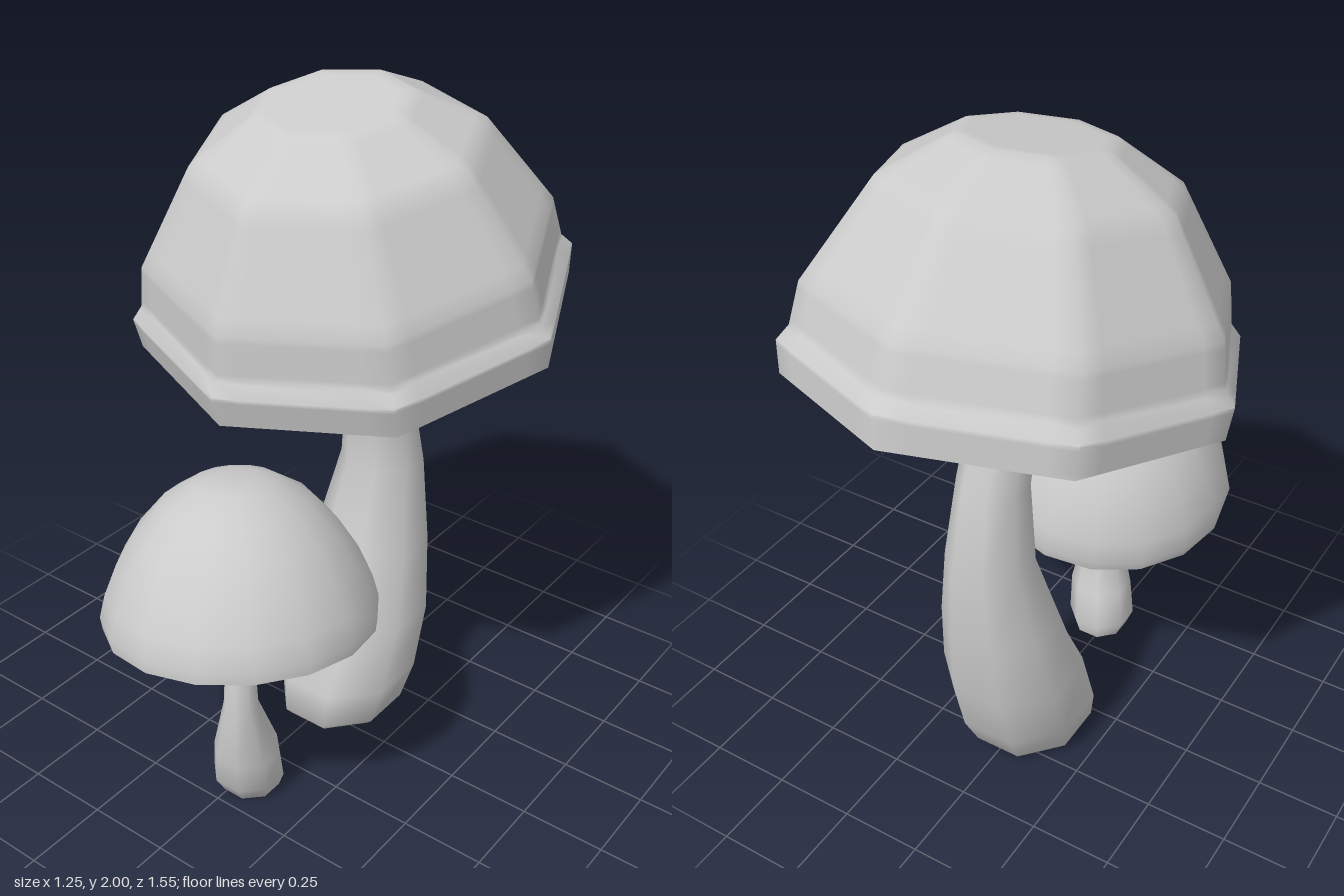
import * as THREE from 'three';
import { toCreasedNormals } from 'three/addons/utils/BufferGeometryUtils.js';

const material = new THREE.MeshStandardMaterial({ color: 0xcccccc });

function mesh(name, geometry, crease) {
  const m = new THREE.Mesh(toCreasedNormals(geometry, crease), material);
  m.name = name;
  return m;
}

// Eight-sided stalk through horizontal rings [x, y, z, radiusX, radiusZ], bottom to top
function stem(name, rings) {
  const last = rings.length - 1;
  const geometry = new THREE.CylinderGeometry(1, 1, 1, 8, last, false, Math.PI / 8);
  const p = geometry.attributes.position;
  for (let i = 0; i < p.count; i++) {
    const [x, y, z, rx, rz = rx] = rings[Math.round((p.getY(i) + 0.5) * last)];
    p.setXYZ(i, x + p.getX(i) * rx, y, z + p.getZ(i) * rz);
  }
  return mesh(name, geometry, 1.2);
}

const lathe = (profile, sides) =>
  new THREE.LatheGeometry(profile.map(([r, h]) => new THREE.Vector2(r, h)), sides);

// Lathe with flat facets and softened edges: extra rows and columns beside each edge
function softFacetLathe(profile, sides) {
  const rows = profile.flatMap(([r, h], i) => {
    const [r2, h2] = profile[i + 1] ?? [r, h];
    const at = (t) => [r + (r2 - r) * t, h + (h2 - h) * t];
    return i + 1 < profile.length ? [[r, h], at(0.15), at(0.85)] : [[r, h]];
  });
  const geometry = lathe(rows, sides * 3);
  const p = geometry.attributes.position;
  const step = (Math.PI * 2) / sides;
  for (let i = 0; i < p.count; i++) {
    const column = Math.floor(i / rows.length);
    const r = rows[i % rows.length][0];
    const a = Math.floor(column / 3) * step;
    const t = [0, 0.15, 0.85][column % 3];
    p.setX(i, r * THREE.MathUtils.lerp(Math.sin(a), Math.sin(a + step), t));
    p.setZ(i, r * THREE.MathUtils.lerp(Math.cos(a), Math.cos(a + step), t));
  }
  return geometry;
}

// Hollow cap shell with a collar hanging from its ceiling round the stalk
function cap(name, shell, center, up, [rTop, rBottom, low, high]) {
  const group = new THREE.Group();
  group.name = name;
  group.add(mesh(name + 'Shell', shell, 1.05));

  const collar = mesh(name + 'Collar', new THREE.CylinderGeometry(rTop, rBottom, high - low, 8), 0.8);
  collar.position.y = (low + high) / 2;
  group.add(collar);

  group.position.set(...center);
  group.quaternion.setFromUnitVectors(
    new THREE.Vector3(0, 1, 0), new THREE.Vector3(...up).normalize());
  return group;
}

export function createModel() {
  const model = new THREE.Group();
  model.name = 'mushrooms';

  // Large mushroom: faceted cap tipped forward on a bent stalk
  model.add(stem('largeStem', [
    [0, 0, -0.115, 0.17, 0.195], [0, 0.02, -0.115, 0.19, 0.212], [0, 0.13, -0.147, 0.213, 0.235],
    [0, 0.32, -0.22, 0.21, 0.208], [0, 0.55, -0.272, 0.178, 0.172], [0, 0.8, -0.318, 0.13, 0.127],
    [0, 1.05, -0.292, 0.103, 0.102], [0, 1.35, -0.19, 0.092, 0.09], [0, 1.44, -0.16, 0.088],
  ]));
  // Profiles run from the inner ceiling, round the rim, to the crown
  const largeShell = softFacetLathe([
    [0, 0.2], [0.4, 0.2], [0.475, 0.02], [0.613, 0.0], [0.623, 0.092],
    [0.592, 0.128], [0.57, 0.249], [0.397, 0.519], [0.208, 0.632], [0, 0.632],
  ], 8);
  model.add(cap('largeCap', largeShell,
    [0, 1.34, -0.175], [0, 0.983, 0.184], [0.2, 0.205, 0.03, 0.21]));

  // Small mushroom: smooth dome tipped back on a thin stalk
  model.add(stem('smallStem', [
    [0.025, 0, 0.377, 0.088], [0.025, 0.05, 0.385, 0.108], [0.043, 0.16, 0.41, 0.1],
    [0.065, 0.36, 0.455, 0.052], [0.052, 0.5, 0.437, 0.044], [0.025, 0.65, 0.395, 0.038],
    [0.018, 0.7, 0.385, 0.036],
  ]));
  const smallShell = lathe([
    [0, 0.14], [0.2, 0.135], [0.32, 0.09], [0.368, 0.0], [0.385, 0.0], [0.39, 0.035],
    [0.373, 0.1], [0.335, 0.19], [0.282, 0.275], [0.205, 0.36], [0.12, 0.412], [0.07, 0.424], [0, 0.425],
  ], 16);
  model.add(cap('smallCap', smallShell,
    [0.02, 0.605, 0.39], [-0.12, 1, -0.12], [0.09, 0.095, 0.04, 0.15]));

  return model;
}
